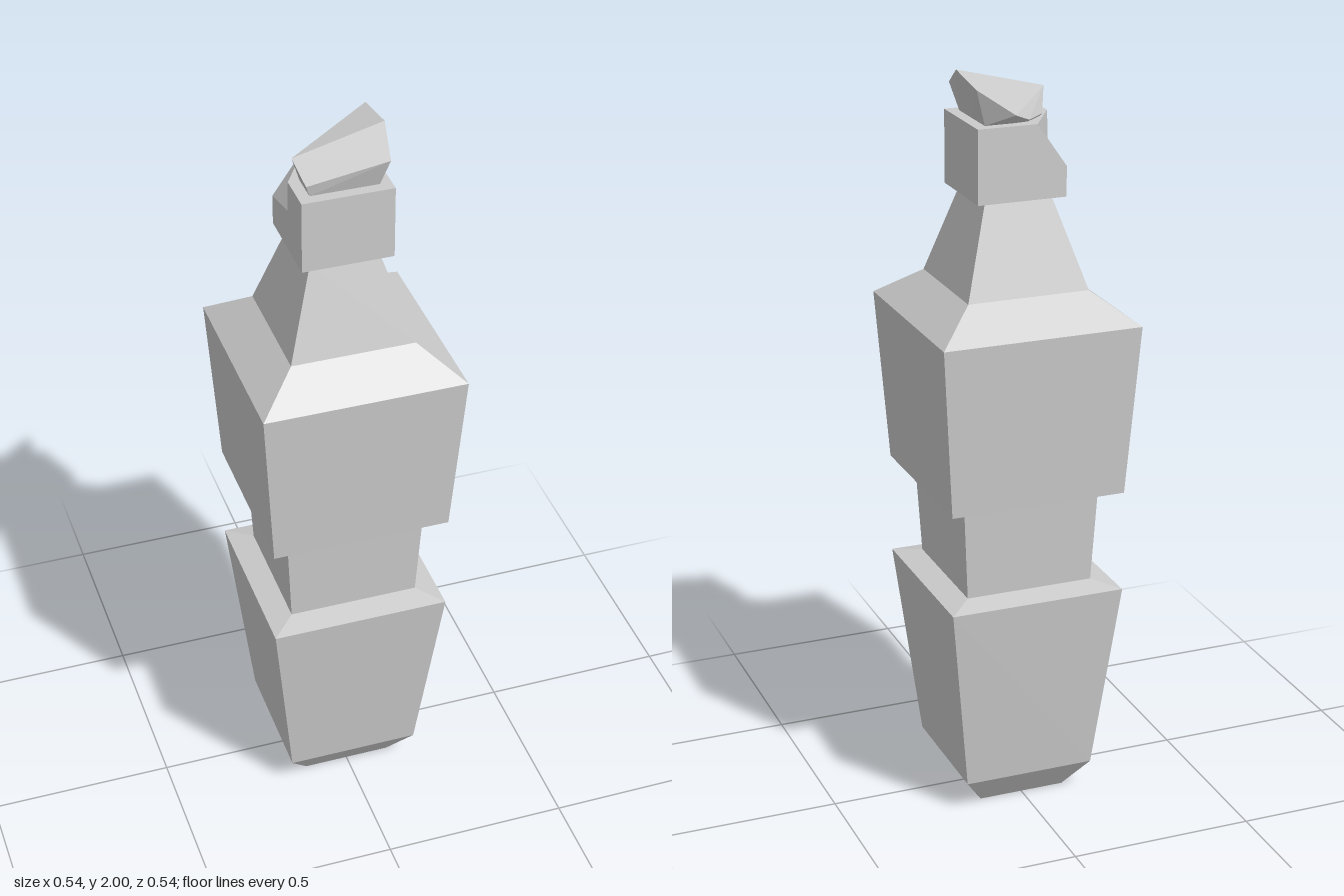
import * as THREE from 'three';

const material = new THREE.MeshStandardMaterial({ color: 0xcccccc, flatShading: true });

// Solid from flat polygons, each fanned out from its first corner
function fromPolygons(polygons) {
  const pos = [];
  for (const p of polygons) {
    for (let i = 1; i < p.length - 1; i++) pos.push(...p[0], ...p[i], ...p[i + 1]);
  }
  const geometry = new THREE.BufferGeometry();
  geometry.setAttribute('position', new THREE.Float32BufferAttribute(pos, 3));
  geometry.computeVertexNormals();
  return geometry;
}

// Square-section turned shape: profile of [half width, height]
function squareLathe(profile) {
  const points = profile.map(([w, y]) => new THREE.Vector2(w * Math.SQRT2, y));
  return new THREE.LatheGeometry(points, 4, Math.PI / 4);
}

function collarGeometry() {
  const h = 0.12, lo = 1.68, hi = 1.875;
  const v = (sx, y, sz) => [sx * h, y, sz * h];
  // Corners of the chipped back edge
  const a = [-0.04, hi, -h], b = [-h, hi, 0.012], c = [-h, 1.79, 0.005], d = [-h, 1.76, -h];
  return fromPolygons([
    [v(-1, lo, -1), v(1, lo, -1), v(1, lo, 1), v(-1, lo, 1)], // underside
    [v(-1, lo, 1), v(1, lo, 1), v(1, hi, 1), v(-1, hi, 1)], // front
    [v(1, lo, 1), v(1, lo, -1), v(1, hi, -1), v(1, hi, 1)], // left
    [v(1, lo, -1), v(-1, lo, -1), d, a, v(1, hi, -1)], // back
    [c, d, v(-1, lo, -1), v(-1, lo, 1), v(-1, hi, 1), b], // right
    [v(-1, hi, 1), v(1, hi, 1), v(1, hi, -1), a, b], // top
    [c, b, a, d], // chip
  ]);
}

function brokenTipGeometry() {
  const y = 1.875;
  const base = [
    [-0.09, y, 0.09], [0.09, y, 0.09], [0.09, y, 0.01], [0.09, y, -0.09],
    [0.01, y, -0.09], [-0.028, y, -0.085], [-0.08, y, -0.038], [-0.09, y, 0.01],
  ];
  const rim = [
    [-0.1, 1.905, 0.095], [0.11, 1.947, 0.11], [0.128, 2, 0.01], [0.127, 1.977, -0.13],
    [0.015, 1.9, -0.113], [-0.03, 1.88, -0.09], [-0.085, 1.88, -0.04], [-0.11, 1.94, 0.012],
  ];
  const sides = rim.map((p, i) => {
    const j = (i + 1) % rim.length;
    return [base[i], base[j], rim[j], p];
  });
  // Slanted break, ridged from side to side
  const pick = (...ids) => ids.map((i) => rim[i]);
  return fromPolygons([...sides, pick(7, 0, 1, 2), pick(7, 2, 3, 4, 5, 6), [...base].reverse()]);
}

export function createModel() {
  const group = new THREE.Group();
  group.name = 'steppedPillar';
  const parts = {
    lowerBlock: squareLathe([[0, 0], [0.12, 0], [0.18, 0.087], [0.24, 0.62], [0.175, 0.635]]),
    waist: squareLathe([[0.175, 0.635], [0.188, 0.888]]),
    upperBlock: squareLathe([[0.188, 0.888], [0.24, 0.897], [0.27, 1.36], [0.165, 1.44]]),
    neck: squareLathe([[0.165, 1.44], [0.09, 1.68]]),
    collar: collarGeometry(),
    brokenTip: brokenTipGeometry(),
  };
  for (const [name, geometry] of Object.entries(parts)) {
    const mesh = new THREE.Mesh(geometry, material);
    mesh.name = name;
    group.add(mesh);
  }
  return group;
}
